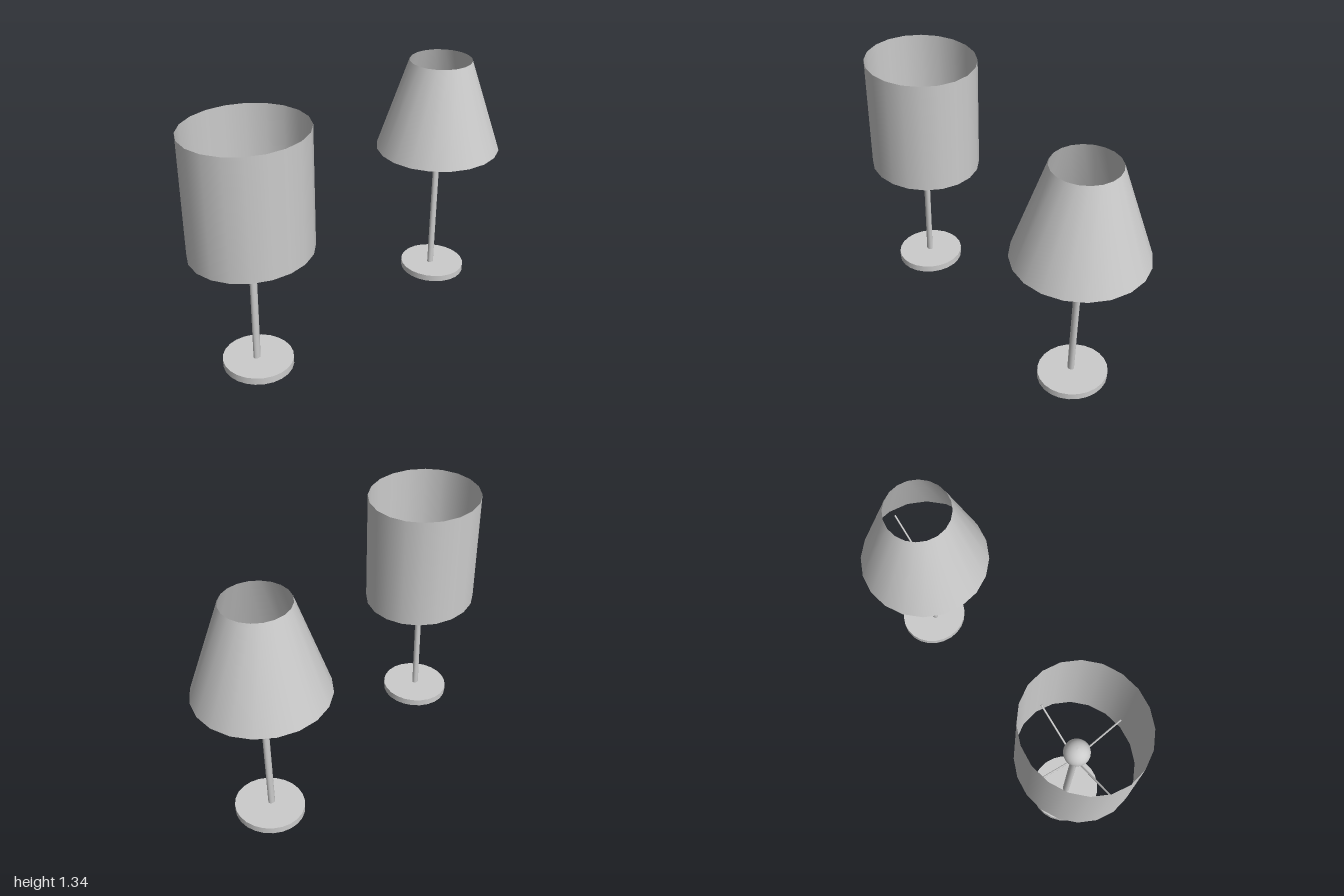
import * as THREE from 'three';

const grey = new THREE.MeshStandardMaterial({ color: 0xcccccc });
const thin = new THREE.MeshStandardMaterial({ color: 0xcccccc, side: THREE.DoubleSide });
const UP = new THREE.Vector3(0, 1, 0);

function add(group, name, geometry, material = grey) {
  const mesh = new THREE.Mesh(geometry, material);
  mesh.name = name;
  group.add(mesh);
  return mesh;
}

// Straight rod between two points, optionally flattened in depth
function rod(group, name, a, b, radius, sides, depth = 1) {
  const dir = b.clone().sub(a);
  const mesh = add(group, name, new THREE.CylinderGeometry(radius, radius, dir.length(), sides));
  mesh.position.copy(a).add(b).multiplyScalar(0.5);
  mesh.quaternion.setFromUnitVectors(UP, dir.normalize());
  mesh.scale.z = depth;
}

// Bulb and its stepped socket, as one turned profile
function bulbProfile() {
  const points = [[0, 0.72], [0.021, 0.72], [0.023, 0.752], [0.034, 0.755], [0.041, 0.79], [0.05, 0.795]]
    .map(([r, y]) => new THREE.Vector2(r, y));
  for (let i = 0; i <= 10; i++) {
    const t = -0.7 + (i / 10) * (Math.PI / 2 + 0.7);
    points.push(new THREE.Vector2(Math.max(0, 0.069 * Math.cos(t)), 0.86 + 0.069 * Math.sin(t)));
  }
  return points;
}

function makeLamp(name, o) {
  const lamp = new THREE.Group();
  lamp.name = name;

  // Round foot
  const base = add(lamp, 'base', new THREE.CylinderGeometry(1, 1, o.baseTop - o.baseBottom, 24));
  base.scale.set(o.baseX, 1, 0.19);
  base.position.y = (o.baseTop + o.baseBottom) / 2;

  // Slightly leaning stem
  rod(lamp, 'stem', new THREE.Vector3(o.lean, o.baseBottom - 0.001, 0), new THREE.Vector3(0, 0.735, 0), 0.02, 12, 0.8);

  add(lamp, 'bulbAndSocket', new THREE.LatheGeometry(bulbProfile(), 20));

  // Four arms rising towards the shade
  for (let i = 0; i < 4; i++) {
    const a = (i * Math.PI) / 2;
    const tip = new THREE.Vector3(o.armX * Math.cos(a), 0.88, o.armZ * Math.sin(a));
    rod(lamp, 'shadeArm', new THREE.Vector3(0, 0.725, 0), tip, 0.005, 6);
  }

  // Open shade
  const shade = add(lamp, 'shade',
    new THREE.CylinderGeometry(o.shadeTopR, o.shadeBottomR, o.shadeTop - o.shadeBottom, 20, 1, true), thin);
  shade.position.y = (o.shadeTop + o.shadeBottom) / 2;
  shade.scale.z = o.shadeDepth;

  lamp.position.x = o.x;
  return lamp;
}

export function createModel() {
  const model = new THREE.Group();
  model.name = 'tableLamps';
  model.add(
    makeLamp('drumLamp', {
      x: -0.678, baseBottom: 0.001, baseTop: 0.04, baseX: 0.182, lean: -0.009, armX: 0.293, armZ: 0.273,
      shadeTopR: 0.322, shadeBottomR: 0.322, shadeBottom: 0.687, shadeTop: 1.325, shadeDepth: 0.932,
    }),
    makeLamp('taperedLamp', {
      x: 0.653, baseBottom: 0.026, baseTop: 0.062, baseX: 0.178, lean: -0.014, armX: 0.28, armZ: 0.28,
      shadeTopR: 0.172, shadeBottomR: 0.345, shadeBottom: 0.825, shadeTop: 1.335, shadeDepth: 1,
    }),
  );
  return model;
}
